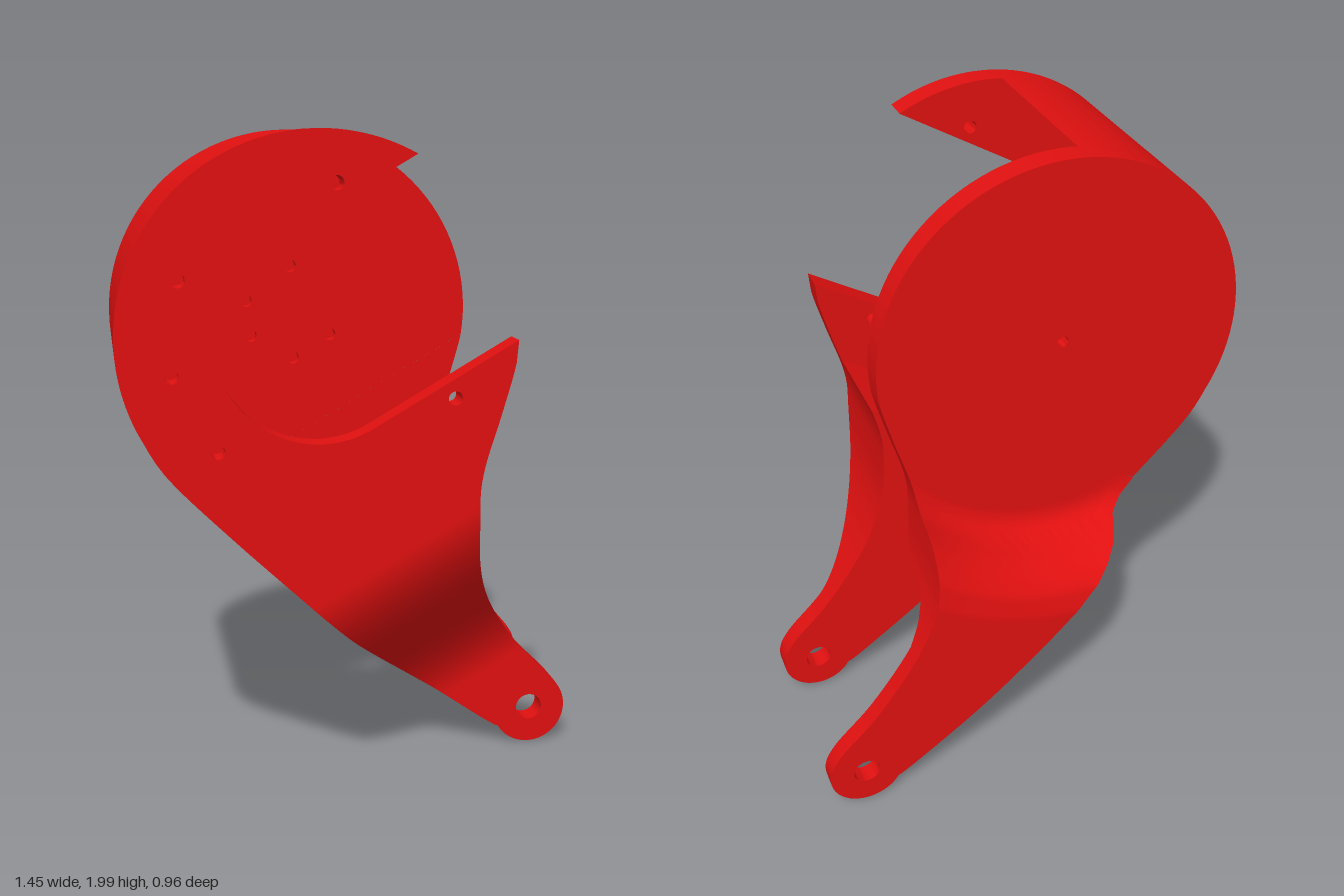
import * as THREE from 'three';
import { toCreasedNormals } from 'three/addons/utils/BufferGeometryUtils.js';

const red = new THREE.MeshStandardMaterial({ color: 0xe01010 });
const V = (x, y) => new THREE.Vector2(x, y);
const deg = Math.PI / 180;

// Local frame: origin at the housing centre, arm pointing down -y, slot opening to +x.
const R = 0.58, CAVITY = 0.53, SLOT = 0.305, TIP = -1.494, TIP_R = 0.12;

// Outline of the left and right edges below the round head
const edge = (knots) => {
  const pts = new THREE.SplineCurve(knots.map(k => V(...k))).getPoints(300);
  return (y) => {
    const i = Math.max(1, pts.findIndex(p => p.y <= y));
    const a = pts[i - 1], b = pts[i];
    return a.x + (b.x - a.x) * (a.y - y) / (a.y - b.y);
  };
};
const leftX = edge([[-0.58, 0.02], [-0.575, -0.12], [-0.511, -0.375], [-0.414, -0.71], [-0.359, -0.912],
  [-0.274, -1.164], [-0.17, -1.4], [-0.12, -1.5]]);
const rightX = edge([[0.502, -0.29], [0.455, -0.36], [0.348, -0.467], [0.22, -0.589], [0.151, -0.688],
  [0.079, -0.854], [0.054, -1.036], [0.072, -1.265], [0.113, -1.434], [0.12, -1.5]]);

// Point runs along an edge or an arc
const run = (f, y0, y1, n = 16) => Array.from({ length: n + 1 }, (_, i) => {
  const y = y0 + (y1 - y0) * i / n;
  return V(f(y), y);
});
const arc = (r, a0, a1, cy = 0, n = 64) => Array.from({ length: n + 1 }, (_, i) => {
  const a = a0 + (a1 - a0) * i / n;
  return V(r * Math.cos(a), cy + r * Math.sin(a));
});

function add(group, name, geometry) {
  const mesh = new THREE.Mesh(toCreasedNormals(geometry, 0.6), red);
  mesh.name = name;
  group.add(mesh);
}

function plate(group, name, points, z0, z1, holes = []) {
  const shape = new THREE.Shape(points);
  for (const [x, y, r] of holes) {
    const hole = new THREE.Path();
    hole.absarc(x, y, r, 0, Math.PI * 2, true);
    shape.holes.push(hole);
  }
  const g = new THREE.ExtrudeGeometry(shape, { depth: z1 - z0, bevelEnabled: false, curveSegments: 16 });
  add(group, name, g.translate(0, 0, z0));
}

// Arm lofted down its length, with front and back surfaces given by rules
function arm(group, name, u0, u1, zFront, zBack, rows = 90, cols = 24) {
  const pos = [], index = [], n = 2 * (cols + 1);
  for (let i = 0; i <= rows; i++) {
    const u = u0 + (u1 - u0) * i / rows;
    for (let k = 0; k < n; k++) {
      const front = k <= cols;
      const t = (front ? k : n - 1 - k) / cols;
      const x = THREE.MathUtils.lerp(leftX(-u), rightX(-u), t);
      pos.push(x, -u, (front ? zFront : zBack)(u, Math.hypot(x, u)));
      if (i < rows) {
        const k1 = (k + 1) % n;
        const a = i * n + k, b = a + n, c = (i + 1) * n + k1, d = i * n + k1;
        index.push(a, b, c, a, c, d);
      }
    }
  }
  const g = new THREE.BufferGeometry();
  g.setAttribute('position', new THREE.Float32BufferAttribute(pos, 3));
  g.setIndex(index);
  add(group, name, g);
}

// Piecewise interpolation of a short profile
const profile = (knots) => (t) => {
  if (t <= knots[0][0]) return knots[0][1];
  for (let i = 1; i < knots.length; i++) {
    const [a, za] = knots[i - 1], [b, zb] = knots[i];
    if (t <= b) return za + (zb - za) * (t - a) / (b - a);
  }
  return knots[knots.length - 1][1];
};

export function createModel() {
  const model = new THREE.Group();
  model.name = 'bracket';
  const body = new THREE.Group();
  body.name = 'housingAndArms';
  body.position.set(-0.145, 1.42, 0);
  body.rotation.z = 30 * deg;
  model.add(body);

  // Back plate: inner layer with blind screw holes, outer layer with a centre hole
  const back = [...arc(R, Math.atan2(-0.36, 0.455), Math.PI), ...run(leftX, -0.02, -0.36)];
  const screws = [30, 105, 150, 213, 270].map(a =>
    [0.15 * Math.cos((a + 30) * deg), 0.15 * Math.sin((a + 30) * deg), 0.02]);
  plate(body, 'backPlateInner', back, -0.2, -0.16, screws);
  plate(body, 'backPlateOuter', back, -0.24, -0.2, [[0, 0, 0.018]]);

  // Front plate with the open U slot and a ring of small holes
  const mouth = Math.asin(SLOT / R);
  const front = [
    ...arc(SLOT, -Math.PI / 2, -Math.PI * 1.5),
    ...arc(R, mouth, Math.PI),
    ...run(leftX, -0.02, -0.68),
    ...run(rightX, -0.68, -0.36),
    V(R * Math.cos(mouth), -SLOT),
  ];
  const ring = [84, 157, 193, 227, 335].map(a =>
    [0.435 * Math.cos((a - 30) * deg), 0.435 * Math.sin((a - 30) * deg), 0.021]);
  plate(body, 'frontPlate', front, 0.4, 0.48, ring);

  // Curved side wall around the cavity, cut off beside the gap between the arms
  const cut = Math.atan2(-0.423, -0.319) + 2 * Math.PI;
  plate(body, 'sideWall', [
    ...arc(R, Math.asin(CAVITY / R), Math.PI),
    ...run(leftX, -0.02, -0.626),
    ...arc(CAVITY, cut, Math.PI / 2),
  ], -0.16, 0.4);

  // Solid block under the cavity, at the root of the front arm
  plate(body, 'frontArmRoot', [
    ...arc(CAVITY, cut, Math.PI * 1.5, 0, 20),
    ...run(rightX, -CAVITY, -0.68),
    ...run(leftX, -0.68, -0.626, 4),
  ], 0.08, 0.4);

  // Front arm thinning in an S curve, rear arm stepping backwards around the head
  arm(body, 'frontArm', 0.68, 1.36,
    u => 0.48 - 0.33 * THREE.MathUtils.smoothstep(u, 0.68, 1.3), () => 0.08);
  arm(body, 'rearArm', 0.36, 1.36,
    profile([[0.7, -0.16], [0.78, -0.175], [0.82, -0.2], [0.845, -0.25], [0.865, -0.31], [0.9, -0.36],
      [0.96, -0.395], [1.04, -0.42]]),
    (u, r) => profile([[0.62, -0.24], [0.655, -0.252], [0.68, -0.285], [0.69, -0.33], [0.71, -0.385],
      [0.74, -0.43], [0.78, -0.463], [0.85, -0.48]])(r));

  // Rounded arm ends with pivot holes
  const tip = [
    ...run(leftX, -1.36, TIP + 0.01),
    ...arc(TIP_R, Math.PI, 2 * Math.PI, TIP, 32),
    ...run(rightX, TIP + 0.01, -1.36),
  ];
  for (const [name, z0, z1] of [['frontArmEnd', 0.08, 0.15], ['rearArmEnd', -0.48, -0.42]])
    plate(body, name, tip, z0, z1, [[0, TIP, 0.043]]);

  return model;
}
